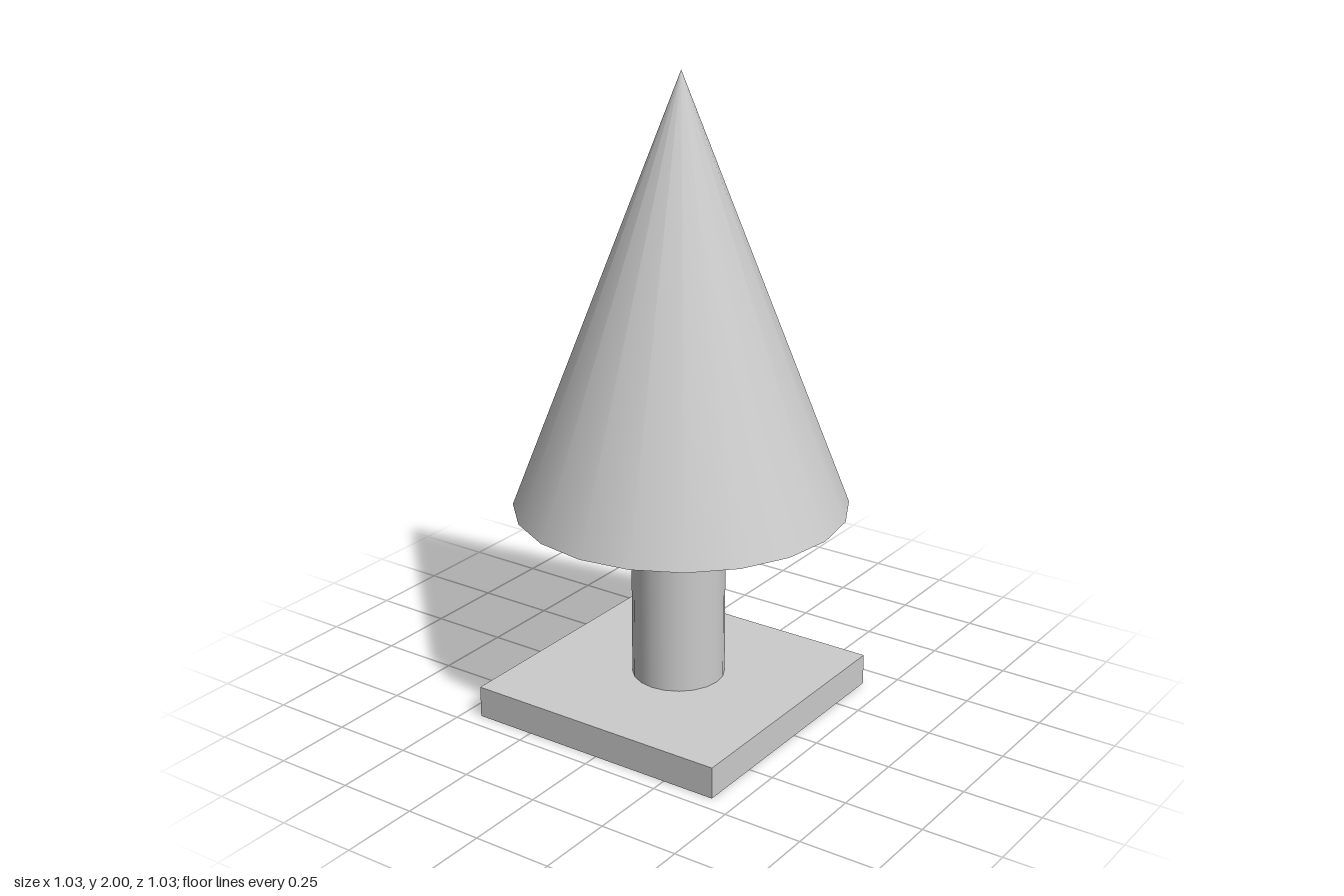
import * as THREE from 'three';

export function createModel() {
  const group = new THREE.Group();
  const material = new THREE.MeshStandardMaterial({ color: 0xcccccc });

  function add(name, geometry, x, y, z) {
    const mesh = new THREE.Mesh(geometry, material);
    mesh.name = name;
    mesh.position.set(x, y, z);
    group.add(mesh);
  }

  const baseTop = 0.1;
  const crownBottom = 0.67;
  const crownTop = 2;

  // square slab, slightly off the axis
  add('base', new THREE.BoxGeometry(0.865, baseTop, 0.865), -0.012, baseTop / 2, 0.017);

  // round trunk between slab and crown
  add('trunk', new THREE.CylinderGeometry(0.145, 0.145, crownBottom - baseTop, 20),
    -0.008, (baseTop + crownBottom) / 2, 0.003);

  // conical crown with a closed underside
  add('crown', new THREE.ConeGeometry(0.513, crownTop - crownBottom, 20),
    0, (crownBottom + crownTop) / 2, 0);

  return group;
}
